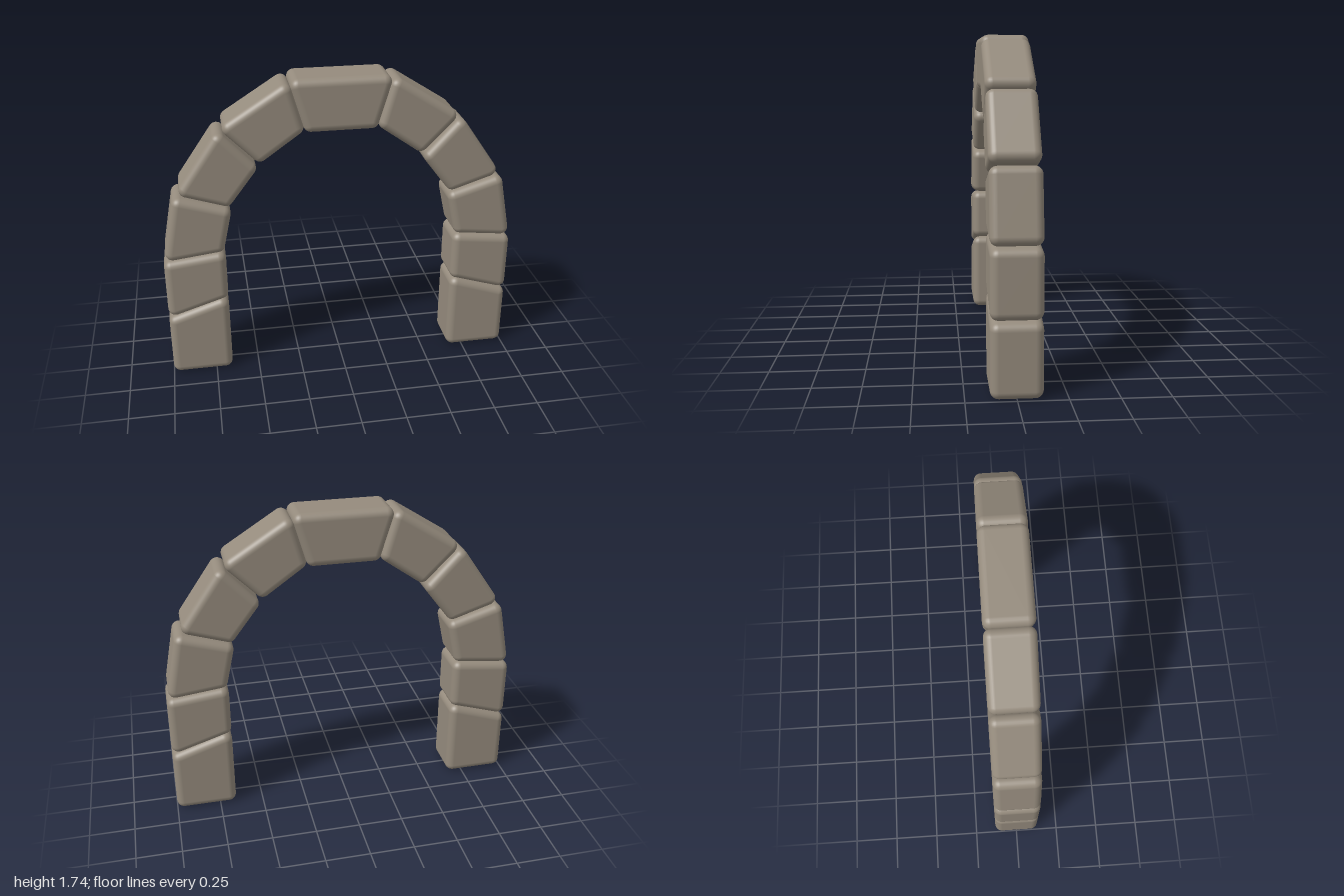
import * as THREE from 'three';
import { RoundedBoxGeometry } from 'three/addons/geometries/RoundedBoxGeometry.js';

const DEPTH = 0.26, RADIUS = 0.042;

// Soft-edged block over a four-sided outline [bottomLeft, bottomRight, topRight, topLeft]
function stoneGeometry(outline) {
  const p = outline.map(([x, y]) => new THREE.Vector2(x, y));
  // Outward normal of each side: bottom, right, top, left
  const n = p.map((a, i) => {
    const d = p[(i + 1) % 4].clone().sub(a).normalize();
    return new THREE.Vector2(d.y, -d.x);
  });
  // Corners moved inward by the edge radius
  const inner = p.map((a, i) => {
    const m = n[(i + 3) % 4], k = n[i];
    return a.clone().addScaledVector(m.clone().add(k), -RADIUS / (1 + m.dot(k)));
  });
  const geo = new RoundedBoxGeometry(1, 1, 1, 4, 0.1);
  const pos = geo.attributes.position, nor = geo.attributes.normal;
  const v = new THREE.Vector3();
  for (let i = 0; i < pos.count; i++) {
    const right = pos.getX(i) > 0, top = pos.getY(i) > 0, sz = Math.sign(pos.getZ(i));
    const corner = inner[top ? (right ? 2 : 3) : (right ? 1 : 0)];
    const side = n[right ? 1 : 3], cap = n[top ? 2 : 0];
    const ax = Math.abs(nor.getX(i)), ay = Math.abs(nor.getY(i));
    // Bend the rounded box's normal onto the slanted sides
    v.set(side.x * ax + cap.x * ay, side.y * ax + cap.y * ay, nor.getZ(i)).normalize();
    nor.setXYZ(i, v.x, v.y, v.z);
    pos.setXYZ(i, corner.x + v.x * RADIUS, corner.y + v.y * RADIUS,
      sz * (DEPTH / 2 - RADIUS) + v.z * RADIUS);
  }
  geo.computeBoundingSphere();
  return geo;
}

export function createModel() {
  const group = new THREE.Group();
  group.name = 'stoneArch';
  const stone = new THREE.MeshStandardMaterial({ color: 0x958b7d });
  stone.name = 'warm grey stone';

  const add = (name, outline) => {
    const mesh = new THREE.Mesh(stoneGeometry(outline), stone);
    mesh.name = name;
    group.add(mesh);
  };

  // Keystone
  add('keystone', [[-0.195, 1.445], [0.195, 1.445], [0.285, 1.74], [-0.285, 1.74]]);

  // Left half, from the ground upward
  const half = {
    FootStone: [[0.655, 0], [1, 0], [1, 0.366], [0.655, 0.482]],
    PillarStone: [[0.655, 0.479], [1, 0.37], [1, 0.73], [0.655, 0.77]],
    SpringerStone: [[0.663, 0.772], [0.997, 0.733], [0.922, 1.124], [0.607, 1.027]],
    HaunchStone: [[0.62, 1.04], [0.909, 1.134], [0.663, 1.489], [0.452, 1.262]],
    CrownStone: [[0.198, 1.457], [0.446, 1.281], [0.658, 1.497], [0.278, 1.738]],
  };
  for (const [name, outline] of Object.entries(half)) {
    add('left' + name, outline);
    const [bl, br, tr, tl] = outline.map(([x, y]) => [-x, y]);
    add('right' + name, [br, bl, tl, tr]);
  }
  return group;
}
